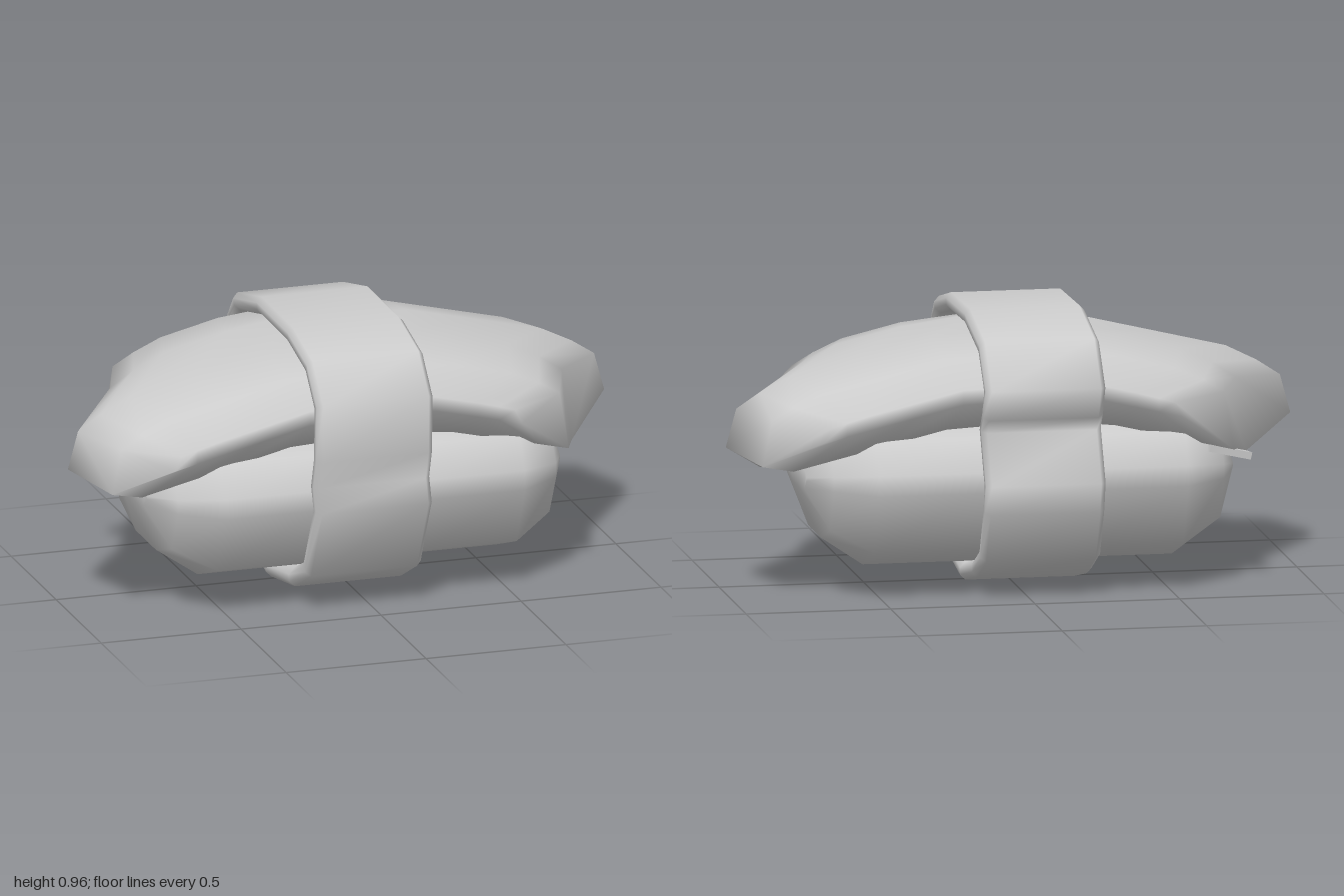
import * as THREE from 'three';

const material = new THREE.MeshStandardMaterial({ color: 0xcccccc });

// Skin a list of equal-length rings; either wrap round to the first or cap both ends.
function loft(name, rings, wrap = false) {
  const n = rings[0].length, m = rings.length;
  const pts = rings.flat().map(p => new THREE.Vector3(...p));
  const idx = [];
  const quad = (a, b, c, d) => idx.push(a, b, c, a, c, d);
  for (let i = 0; i < (wrap ? m : m - 1); i++) {
    const k = ((i + 1) % m) * n;
    for (let j = 0; j < n; j++) {
      const next = (j + 1) % n;
      quad(i * n + j, i * n + next, k + next, k + j);
    }
  }
  // Caps: strips joining the bottom row to the top row, working across the ring.
  if (!wrap) {
    const end = (m - 1) * n, h = n / 4;
    for (let k = 0; k < n / 2 - 1; k++) {
      const [a, b, c, d] = [h - 1 - k, h + k, h + 1 + k, h - 2 - k].map(j => (j + n) % n);
      quad(a, d, c, b);
      quad(end + a, end + b, end + c, end + d);
    }
  }
  // Turn the skin outward if its enclosed volume comes out negative.
  let volume = 0;
  const cross = new THREE.Vector3();
  for (let i = 0; i < idx.length; i += 3) {
    volume += cross.crossVectors(pts[idx[i]], pts[idx[i + 1]]).dot(pts[idx[i + 2]]);
  }
  if (volume < 0) idx.reverse();
  const geo = new THREE.BufferGeometry().setFromPoints(pts);
  geo.setIndex(idx);
  geo.computeVertexNormals();
  const mesh = new THREE.Mesh(geo, material);
  mesh.name = name;
  return mesh;
}

// Mirror half a cross-section [z, y] (listed bottom to top) into a full ring.
const mirrorRing = half => [...half, ...half.map(([z, y]) => [-z, y]).reverse()];

// Rice block: one section scaled towards both rounded ends.
function rice() {
  const section = mirrorRing([[0.14, 0.09], [0.36, 0.17], [0.45, 0.38], [0.45, 0.45], [0.39, 0.56], [0.15, 0.6]]);
  const stations = [[-0.74, 0.45, 0.16], [-0.68, 0.8, 0.7], [-0.54, 1, 1], [-0.2, 1, 1],
    [0.2, 1, 1], [0.53, 1, 1], [0.67, 0.8, 0.7], [0.735, 0.45, 0.16]];
  return loft('rice', stations.map(([x, sz, sy]) =>
    section.map(([z, y]) => [x, 0.4 + (y - 0.4) * sy, z * sz])));
}

// Topping slice: slanted ends, drooping away from the middle, thinning at the long corners.
function topping() {
  const section = mirrorRing([[0.14, 0.58], [0.37, 0.61], [0.46, 0.7], [0.46, 0.75], [0.37, 0.85], [0.14, 0.89]]);
  const reach = z => (Math.abs(z) < 0.2 ? 0.9 : Math.abs(z) < 0.4 ? 0.815 : 0.62);
  // Each station: fraction of reach, top height scale, top reach scale
  const half = [[0.22, 1, 1], [0.5, 1, 1], [0.75, 1, 1], [0.87, 0.82, 1], [1, 0.6, 0.96]];
  const stations = [...half.map(([s, ...rest]) => [-s, ...rest]).reverse(), ...half];
  return loft('topping', stations.map(([s, sy, sx]) => section.map(([z, y]) => {
    const top = y > 0.735;
    const x = s * reach(z) * (top ? sx : 1) - Math.sign(z) * 0.103;
    const droop = 0.24 * Math.max(0, Math.abs(x) - 0.2);
    const thin = 1 - 0.8 * THREE.MathUtils.clamp((Math.abs(x) - 0.86) / 0.13, 0, 1);
    return [x, 0.735 + (y - 0.735) * (top ? sy : thin) - droop, z];
  })));
}

// Small loose sliver under the back corner of the topping.
function sliver() {
  const mesh = new THREE.Mesh(new THREE.BoxGeometry(0.16, 0.025, 0.04), material);
  mesh.name = 'toppingSliver';
  mesh.position.set(-0.7, 0.475, -0.335);
  mesh.rotation.set(0, 0.25, 0.25);
  return mesh;
}

// Seaweed band: a bevelled strip swept round a closed path, pinched between rice and topping.
function band() {
  const path = [[-0.405, 0.59], [-0.45, 0.65], [-0.492, 0.74], [-0.39, 0.87], [-0.14, 0.932], [0.19, 0.927],
    [0.395, 0.877], [0.5, 0.765], [0.5, 0.58], [0.47, 0.475], [0.5, 0.395], [0.39, 0.157], [0.23, 0.075],
    [-0.02, 0.032], [-0.23, 0.08], [-0.38, 0.155], [-0.46, 0.32], [-0.485, 0.41]]
    .map(([z, y]) => new THREE.Vector2(z, y));
  const w = 0.207, t = 0.03, b = 0.018;
  const strip = [[-w, -t + b], [-w + b, -t], [w - b, -t], [w, -t + b],
    [w, t - b], [w - b, t], [-w + b, t], [-w, t - b]];
  const n = path.length;
  return loft('band', path.map((p, i) => {
    const before = p.clone().sub(path[(i + n - 1) % n]).normalize();
    const after = path[(i + 1) % n].clone().sub(p).normalize();
    const along = before.clone().add(after).normalize();
    const mitre = 1 / Math.max(0.6, along.dot(after));
    const centre = -0.033 + 0.008 * (p.x + p.y - 0.5);
    return strip.map(([x, d]) =>
      [centre + x, p.y + along.x * d * mitre, p.x - along.y * d * mitre]);
  }), true);
}

export function createModel() {
  const group = new THREE.Group();
  group.name = 'wrappedRiceBite';
  group.add(rice(), topping(), sliver(), band());
  return group;
}
